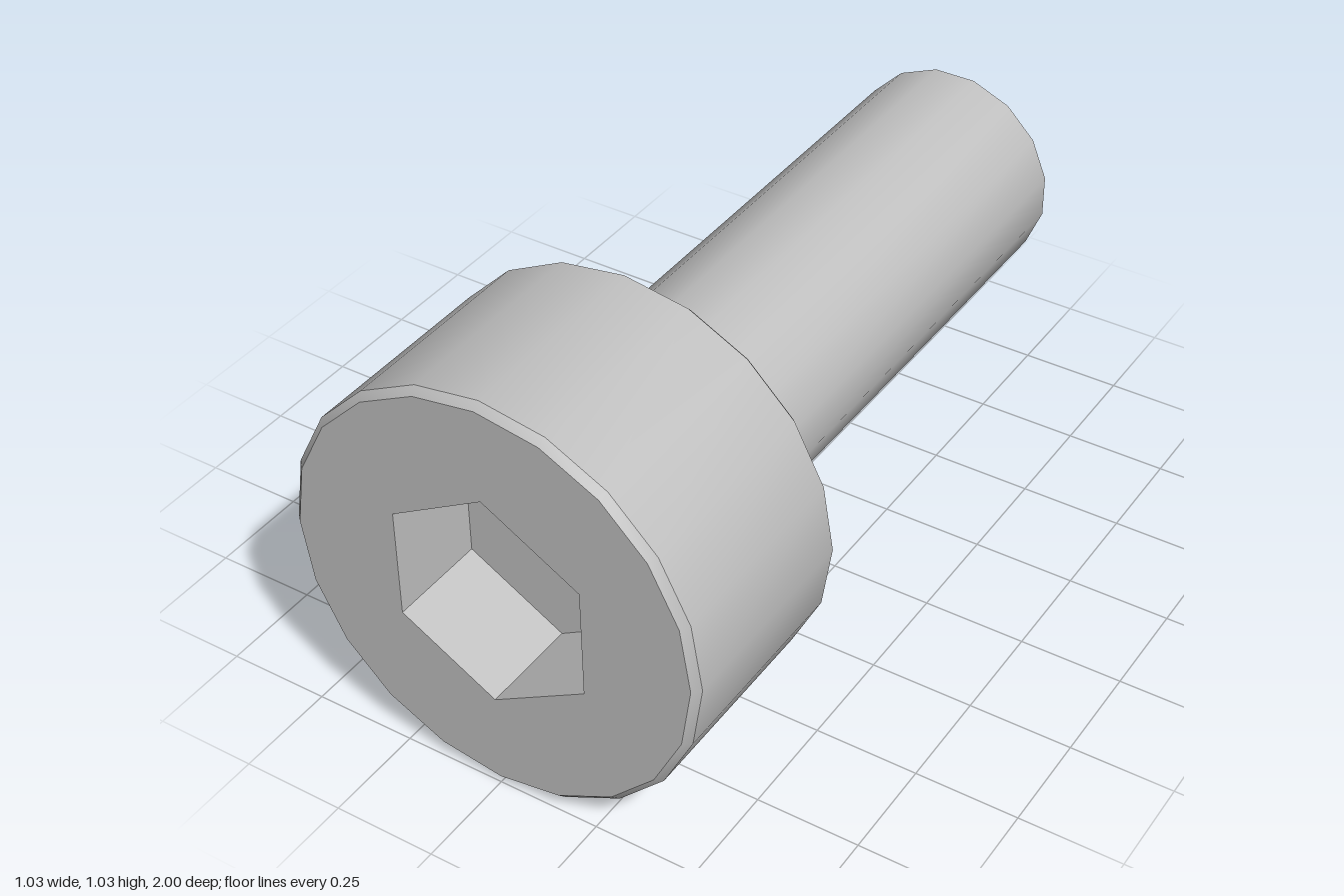
import * as THREE from 'three';
import { toCreasedNormals } from 'three/addons/utils/BufferGeometryUtils.js';

const AXIS_Y = 0.518;
const HEAD_R = 0.515, HEAD_BACK = 0.46, FRONT = 1;
const SHAFT_R = 0.273, TAIL = -1;
const HEX_R = 0.271, HEX_DEPTH = 0.245;
const BEVEL = 0.017;

// Turns an [radius, z] profile around the z axis, keeping bevels and corners sharp
function turned(profile, sides, phase = 0) {
  const points = profile.map(([r, z]) => new THREE.Vector2(r, z));
  const geometry = new THREE.LatheGeometry(points, sides, phase);
  geometry.rotateX(Math.PI / 2);
  return toCreasedNormals(geometry, Math.PI / 6);
}

// Corner points of a regular polygon with a corner at the top
function polygon(radius, sides) {
  return Array.from({ length: sides }, (_, i) => {
    const a = Math.PI / 2 + (i / sides) * Math.PI * 2;
    return new THREE.Vector2(Math.cos(a) * radius, Math.sin(a) * radius);
  });
}

export function createModel() {
  const model = new THREE.Group();
  model.name = 'socketHeadBolt';
  const steel = new THREE.MeshStandardMaterial({ color: 0xc0c0c0 });
  steel.name = 'steel grey';

  function add(name, geometry) {
    const mesh = new THREE.Mesh(geometry, steel);
    mesh.name = name;
    mesh.position.y = AXIS_Y;
    model.add(mesh);
  }

  // Head: back shoulder, bevels and side wall
  add('head', turned([
    [SHAFT_R * 0.9, HEAD_BACK],
    [HEAD_R - BEVEL, HEAD_BACK],
    [HEAD_R, HEAD_BACK + BEVEL],
    [HEAD_R, FRONT - BEVEL],
    [HEAD_R - BEVEL, FRONT],
  ], 20));

  // Front face with the hexagonal opening
  const face = new THREE.Shape(polygon(HEAD_R - BEVEL, 20));
  face.holes.push(new THREE.Path(polygon(HEX_R, 6)));
  add('headFace', new THREE.ShapeGeometry(face).translate(0, 0, FRONT));

  // Socket: profile runs inward so the walls and floor face the opening
  add('hexSocket', turned([
    [HEX_R, FRONT],
    [HEX_R, FRONT - HEX_DEPTH],
    [0, FRONT - HEX_DEPTH],
  ], 6));

  // Shaft with a bevelled tail
  add('shaft', turned([
    [0, TAIL],
    [SHAFT_R - BEVEL, TAIL],
    [SHAFT_R, TAIL + BEVEL],
    [SHAFT_R, HEAD_BACK],
  ], 16, Math.PI / 16));

  return model;
}
